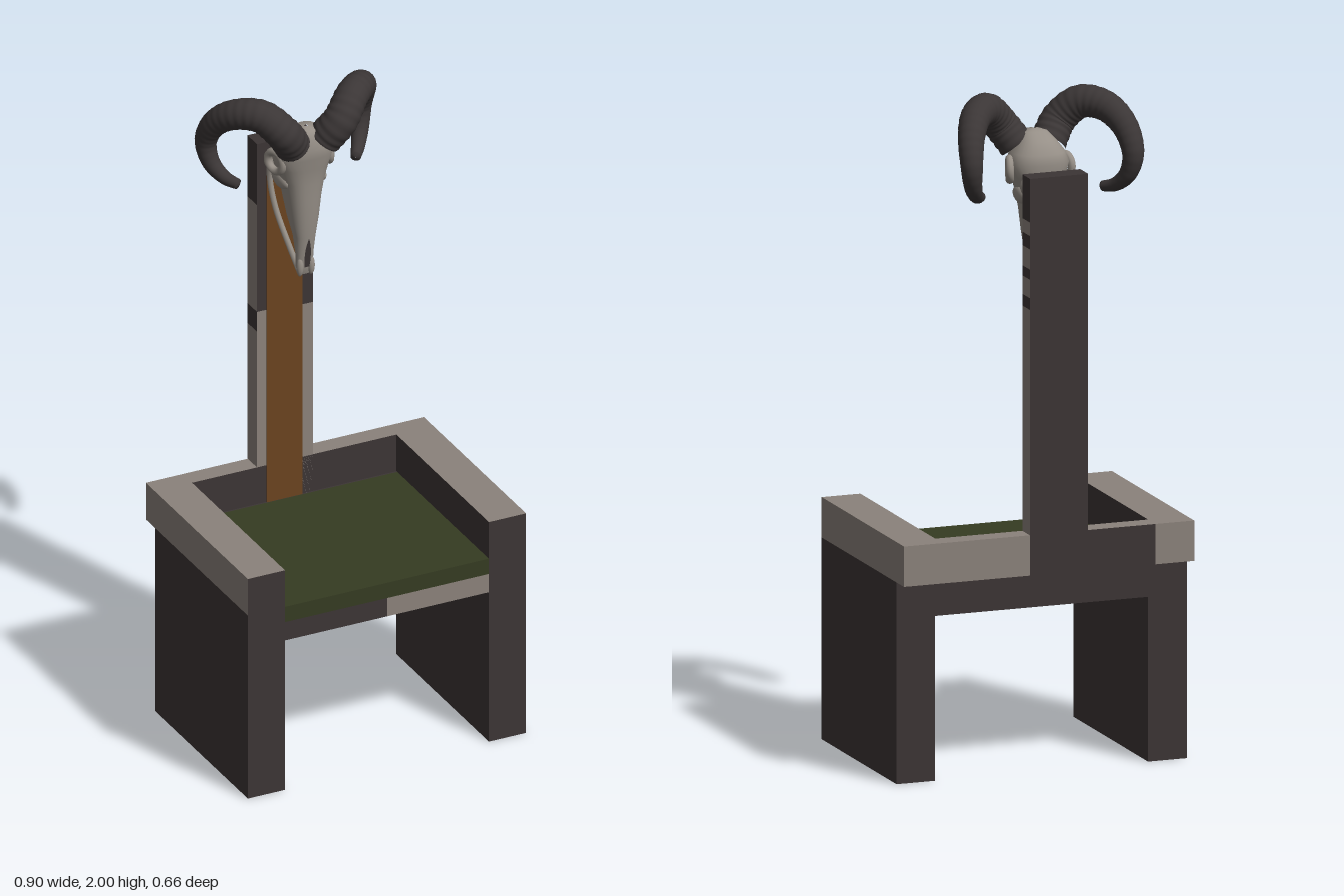
import * as THREE from 'three';

const mat = (name, color) => {
  const m = new THREE.MeshStandardMaterial({ color });
  m.name = name;
  return m;
};

export function createModel() {
  const root = new THREE.Group();
  root.name = 'skullChair';
  const dark = mat('darkWood', 0x3c3535);
  const light = mat('paleWood', 0x8b827b);
  const green = mat('greenSeat', 0x353b22);
  const brown = mat('brownWood', 0x6b4420);
  const bone = mat('bone', 0x968f87);
  const horn = mat('horn', 0x3b3636);

  const add = (name, geometry, material, parent = root) => {
    const m = new THREE.Mesh(geometry, material);
    m.name = name;
    parent.add(m);
    return m;
  };
  // Box from its limits; face materials run +x, -x, +y, -y, +z, -z
  const box = (name, x0, x1, y0, y1, z0, z1, material, parent) => {
    const m = add(name, new THREE.BoxGeometry(x1 - x0, y1 - y0, z1 - z0), material, parent);
    m.position.set((x0 + x1) / 2, (y0 + y1) / 2, (z0 + z1) / 2);
    return m;
  };
  // Smooth skin over rings of points
  const loft = (rings) => {
    const n = rings[0].length, pos = [], idx = [];
    rings.forEach((ring) => ring.forEach((p) => pos.push(p.x, p.y, p.z)));
    for (let i = 0; i < rings.length - 1; i++) {
      for (let j = 0; j < n; j++) {
        const a = i * n + j, b = i * n + (j + 1) % n;
        idx.push(a, b, a + n, b, b + n, a + n);
      }
    }
    const g = new THREE.BufferGeometry();
    g.setAttribute('position', new THREE.Float32BufferAttribute(pos, 3));
    g.setIndex(idx);
    g.computeVertexNormals();
    return g;
  };

  // Side panels and arm rests
  for (const s of [1, -1]) {
    const [x0, x1] = s > 0 ? [0.33, 0.45] : [-0.45, -0.33];
    box('sidePanel', x0, x1, 0, 0.6, -0.27, 0.33, dark);
    box('armRest', x0, x1, 0.6, 0.72, -0.27, 0.33,
      s > 0 ? [light, dark, light, dark, dark, dark] : [dark, light, light, dark, dark, dark]);
    const inner = s > 0 ? 0.326 : -0.33;
    box('innerSideStrip', inner, inner + 0.004, 0.49, 0.55, -0.21, 0.27, light);
  }

  // Back rail in three lengths, with different back faces
  box('backRail', 0.06, 0.45, 0.6, 0.72, -0.33, -0.27, [light, dark, light, dark, dark, light]);
  box('backRail', -0.33, 0.06, 0.6, 0.72, -0.33, -0.27, [light, dark, light, dark, dark, dark]);
  box('backRail', -0.45, -0.33, 0.6, 0.72, -0.33, -0.27, [light, light, light, dark, dark, light]);

  // Seat and the rails beneath it
  box('seat', -0.33, 0.33, 0.55, 0.6, -0.265, 0.33, green);
  box('frontRail', -0.33, 0, 0.49, 0.55, 0.27, 0.33, [dark, dark, dark, dark, dark, green]);
  box('frontRail', 0, 0.33, 0.49, 0.55, 0.27, 0.33, [light, light, light, dark, light, green]);
  box('rearRail', -0.33, 0.33, 0.49, 0.55, -0.27, -0.21, dark);
  box('seatBackEdge', -0.33, 0.33, 0.55, 0.6, -0.27, -0.265, dark);

  // Tall post: two columns of stacked lengths with pale and dark bands
  const post = new THREE.Group();
  post.name = 'backPost';
  root.add(post);
  const top = 1.78;
  const leftBands = [ // top of band, side, front
    [1.22, light, light], [1.34, light, dark], [1.39, light, light], [1.425, dark, light],
    [1.48, light, light], [1.51, dark, light], [1.57, light, dark], [1.61, dark, dark],
    [1.65, light, dark], [top, dark, dark],
  ];
  const rightBands = [
    [1.165, light, light], [1.23, dark, light], [1.58, light, dark], [top, dark, dark],
  ];
  for (const [bands, x0, x1] of [[leftBands, -0.03, 0.06], [rightBands, -0.12, -0.03]]) {
    let y = 0.6;
    for (const [y1, side, front] of bands) {
      box('postLength', x0, x1, y, y1, -0.332, -0.27, [side, side, dark, dark, front, dark], post);
      y = y1;
    }
  }
  box('postInlay', -0.09, 0.025, 0.6, 1.74, -0.27, -0.266, brown, post);

  // Ram skull, centred on the post
  const skull = new THREE.Group();
  skull.name = 'ramSkull';
  skull.position.x = -0.027;
  root.add(skull);
  const V = (x, y, z) => new THREE.Vector3(x, y, z);

  // Cranium and snout: height, front z, back z, half width
  const sections = [
    [1.882, -0.135, -0.145, 0.005], [1.877, -0.11, -0.175, 0.035], [1.855, -0.098, -0.21, 0.055],
    [1.82, -0.092, -0.235, 0.08], [1.79, -0.094, -0.24, 0.092], [1.75, -0.104, -0.235, 0.08],
    [1.7, -0.109, -0.225, 0.064], [1.65, -0.112, -0.225, 0.055], [1.58, -0.117, -0.205, 0.045],
    [1.52, -0.124, -0.18, 0.033], [1.46, -0.133, -0.168, 0.027], [1.42, -0.138, -0.163, 0.027],
    [1.395, -0.142, -0.16, 0.02], [1.39, -0.15, -0.152, 0.003],
  ];
  add('cranium', loft(sections.map(([y, f, b, w]) => Array.from({ length: 28 }, (_, j) => {
    const a = (j / 28) * Math.PI * 2, c = Math.cos(a), s = Math.sin(a);
    return V(w * Math.sign(c) * Math.abs(c) ** 0.85, y,
      (f + b) / 2 + ((f - b) / 2) * Math.sign(s) * Math.abs(s) ** 0.85);
  }))), bone, skull);

  // Nose opening
  const nose = new THREE.Shape();
  nose.moveTo(0, 0.05);
  nose.quadraticCurveTo(0.014, 0.01, 0.008, -0.05);
  nose.lineTo(-0.008, -0.05);
  nose.quadraticCurveTo(-0.014, 0.01, 0, 0.05);
  const noseMesh = add('noseOpening', new THREE.ShapeGeometry(nose), dark, skull);
  noseMesh.position.set(0, 1.47, -0.127);
  noseMesh.rotation.x = 0.14;

  const hornPath = [
    [0.05, 1.835, -0.125], [0.092, 1.895, -0.103], [0.145, 1.947, -0.135], [0.2, 1.942, -0.19],
    [0.237, 1.895, -0.25], [0.25, 1.82, -0.287], [0.24, 1.755, -0.272], [0.215, 1.717, -0.235],
    [0.187, 1.705, -0.195],
  ];
  const jawPath = [
    [0.062, 1.75, -0.245], [0.058, 1.67, -0.258], [0.05, 1.58, -0.238],
    [0.03, 1.47, -0.187], [0.012, 1.395, -0.155],
  ];
  for (const s of [1, -1]) {
    const curveOf = (pts) => new THREE.CatmullRomCurve3(pts.map(([x, y, z]) => V(s * x, y, z)));

    // Curled, ridged horn
    const curve = curveOf(hornPath), n = 120, frames = curve.computeFrenetFrames(n);
    const rings = [];
    for (let i = 0; i <= n; i++) {
      const t = i / n, p = curve.getPointAt(t);
      const ridge = 1 + 0.025 * Math.sin(t * Math.PI * 50) * (1 - t);
      const r = i === n ? 0.0005 : (0.053 - 0.038 * t ** 1.7) * ridge;
      rings.push(Array.from({ length: 20 }, (_, j) => {
        const a = (j / 20) * Math.PI * 2;
        return p.clone().addScaledVector(frames.normals[i], r * Math.cos(a))
          .addScaledVector(frames.binormals[i], r * Math.sin(a));
      }));
    }
    add('horn', loft(rings), horn, skull);

    // Eye socket rim
    const socket = add('eyeSocket', new THREE.TorusGeometry(0.031, 0.012, 10, 24), bone, skull);
    socket.position.set(s * 0.086, 1.772, -0.165);
    socket.rotation.set(0, s * 1.25, 0);

    // Thin jaw strand, its hinge and the cheekbone
    add('jaw', new THREE.TubeGeometry(curveOf(jawPath), 30, 0.009, 8), bone, skull);
    const hinge = add('jawHinge', new THREE.SphereGeometry(0.024, 16, 12), bone, skull);
    hinge.position.set(s * 0.058, 1.735, -0.243);
    hinge.scale.set(1, 1.3, 1);
    const cheek = add('cheekbone', new THREE.SphereGeometry(0.02, 16, 12), bone, skull);
    cheek.position.set(s * 0.06, 1.7, -0.185);
    cheek.scale.set(0.8, 1.3, 2.4);
    // Prong at the end of the snout
    const prong = add('snoutProng', new THREE.SphereGeometry(0.011, 12, 8), bone, skull);
    prong.position.set(s * 0.018, 1.42, -0.143);
    prong.scale.set(1, 2.8, 1);
  }
  return root;
}
